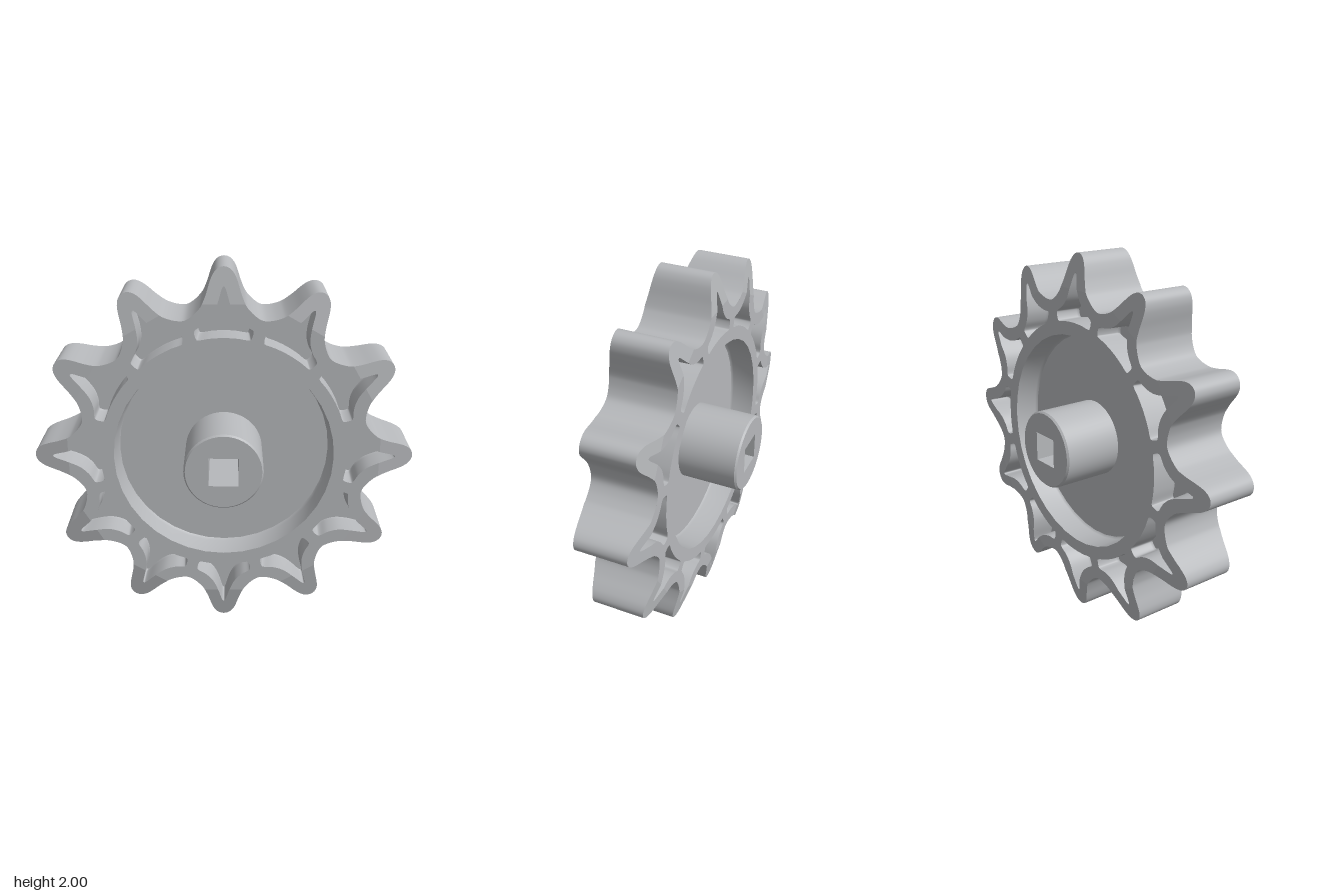
import * as THREE from 'three';

const TEETH = 12, STEPS = 4;
const FACE_Z = 0.175, TIP_Z = 0.14, TAPER_R = 0.82; // faces taper beyond TAPER_R
const WEB_Z = 0.042, HUB_Z = 0.365, HUB_R = 0.205, RECESS_R = 0.58;

// Height of the side face at a tooth-local radial position
const faceZ = (y) => FACE_Z - Math.max(0, (y - TAPER_R) / (1 - TAPER_R)) * (FACE_Z - TIP_Z);

const turn = (p, i) => p.clone().rotateAround(new THREE.Vector2(), -i * Math.PI * 2 / TEETH);
const v2 = (a) => new THREE.Vector2(a[0], a[1]);

// Smooth closed outline that passes through its control points every STEPS samples
function smoothLoop(points) {
  const curve = new THREE.CatmullRomCurve3(points.map((p) => new THREE.Vector3(p.x, p.y, 0)), true, 'catmullrom', 0.5);
  return curve.getPoints(points.length * STEPS).slice(0, -1).map((p) => new THREE.Vector2(p.x, p.y));
}

const circle = (r, n) => Array.from({ length: n }, (_, i) =>
  new THREE.Vector2(r * Math.cos(i * 2 * Math.PI / n), r * Math.sin(i * 2 * Math.PI / n)));

const ring = (pts, z) => pts.map((p) => [p.x, p.y, typeof z === 'function' ? z(p) : z]);

// Wall through closed rings, top to bottom; inward walls face the axis of the loop
function loft(rings, inward = false, flat = false) {
  const n = rings[0].length, index = [];
  for (let r = 0; r < rings.length - 1; r++) {
    for (let i = 0; i < n; i++) {
      const j = (i + 1) % n, a = r * n + i, b = a + n, c = r * n + n + j, d = r * n + j;
      if (inward) index.push(a, c, b, a, d, c);
      else index.push(a, b, c, a, c, d);
    }
  }
  let g = new THREE.BufferGeometry();
  g.setAttribute('position', new THREE.Float32BufferAttribute(rings.flat(2), 3));
  g.setIndex(index);
  if (flat) g = g.toNonIndexed();
  g.computeVertexNormals();
  return g;
}

// Flat plate facing +z with optional holes
function plate(outline, z, holes = []) {
  const shape = new THREE.Shape(outline);
  holes.forEach((h) => shape.holes.push(new THREE.Path(h)));
  return new THREE.ShapeGeometry(shape).translate(0, 0, z);
}

export function createModel() {
  const steel = new THREE.MeshStandardMaterial({ color: 0xb6b8bb });
  steel.name = 'grey metal';
  const add = (parent, name, geometry) => {
    const mesh = new THREE.Mesh(geometry, steel);
    mesh.name = name;
    parent.add(mesh);
    return mesh;
  };

  // Tooth profile: valley, flank, taper start (index 3), tip (index 8), then mirrored
  const half = [[0.197, 0.737], [0.158, 0.76], [0.125, 0.793], [0.107, TAPER_R], [0.087, 0.87],
    [0.07, 0.925], [0.054, 0.963], [0.031, 0.99], [0, 1]].map(v2);
  const mirrored = half.slice(1, -1).reverse().map((p) => new THREE.Vector2(-p.x, p.y));
  const toothControls = [...half, ...mirrored];
  const perTooth = toothControls.length * STEPS;
  const controls = [];
  for (let i = 0; i < TEETH; i++) controls.push(...toothControls.map((p) => turn(p, -i)));
  const outline = smoothLoop(controls);
  const tooth = outline.slice(0, perTooth);
  const taperA = 3 * STEPS, taperB = 13 * STEPS;

  // Pocket profile: starts and crosses the taper line at indices 0 and 4
  const pocketHalf = [[0, 0.65], [0.07, 0.646], [0.125, 0.637], [0.139, 0.645], [0.148, 0.676],
    [0.14, 0.692], [0.1, 0.717], [0.06, 0.76]];
  const pocketControls = [[0.032, TAPER_R], [0.011, 0.89], [0, 0.905], [-0.011, 0.89], [-0.032, TAPER_R],
    ...pocketHalf.slice().reverse().map(([x, y]) => [-x, y]), ...pocketHalf.slice(1)].map(v2);
  const pocket = smoothLoop(pocketControls);
  const pocketTip = pocket.slice(0, 4 * STEPS + 1);
  const pocketBase = [...pocket.slice(4 * STEPS), pocket[0]].reverse();
  const shrink = (s) => pocket.map((p) => new THREE.Vector2(p.x * s, 0.69 + (p.y - 0.69) * s));

  // Face contour runs round each tooth root and notches in around each pocket
  const faceOutline = [];
  for (let i = 0; i < TEETH; i++) {
    const part = [...tooth.slice(0, taperA + 1), ...pocketBase, ...tooth.slice(taperB)];
    faceOutline.push(...part.map((p) => turn(p, -i)));
  }

  const recess = (r) => circle(r, 36);
  const hub = (r) => circle(r, 48);
  const square = [[0.077, 0.077], [-0.077, 0.077], [-0.077, -0.077], [0.077, -0.077]].map(v2);

  const tipGeometry = plate([...tooth.slice(taperA, taperB + 1), ...pocketTip.slice().reverse()], 0);
  const pos = tipGeometry.attributes.position;
  for (let i = 0; i < pos.count; i++) pos.setZ(i, faceZ(pos.getY(i)));
  tipGeometry.computeVertexNormals();
  const pocketWall = loft([ring(pocket, (p) => faceZ(p.y)), ring(shrink(0.96), WEB_Z + 0.012),
    ring(shrink(0.9), WEB_Z)], true);
  const pocketFloor = plate(shrink(0.9), WEB_Z);

  // One side of the wheel
  const side = new THREE.Group();
  side.name = 'sideFace';
  add(side, 'rimFace', plate(faceOutline, FACE_Z, [recess(RECESS_R)]));
  add(side, 'recessWall', loft([ring(recess(RECESS_R), FACE_Z), ring(recess(0.573), WEB_Z + 0.012),
    ring(recess(0.562), WEB_Z)], true));
  add(side, 'web', plate(recess(0.562), WEB_Z, [hub(HUB_R - 0.005)]));
  add(side, 'hubWall', loft([ring(hub(HUB_R), HUB_Z - 0.01), ring(hub(HUB_R), WEB_Z)]));
  add(side, 'hubEdge', loft([ring(hub(HUB_R - 0.008), HUB_Z), ring(hub(HUB_R), HUB_Z - 0.01)]));
  add(side, 'hubEnd', plate(hub(HUB_R - 0.008), HUB_Z, [square]));
  for (let i = 0; i < TEETH; i++) {
    const group = new THREE.Group();
    group.name = 'toothFace';
    add(group, 'toothTipFace', tipGeometry);
    add(group, 'pocketWall', pocketWall);
    add(group, 'pocketFloor', pocketFloor);
    group.rotation.z = i * Math.PI * 2 / TEETH;
    side.add(group);
  }
  const back = side.clone();
  back.rotation.y = Math.PI;

  // Toothed edge and the square bore join the two sides
  const wheel = new THREE.Group();
  wheel.name = 'sprocketWheel';
  wheel.add(side, back);
  const edgeZ = outline.map((_, i) => faceZ(tooth[i % perTooth].y));
  add(wheel, 'toothedEdge', loft([1, -1].map((s) => outline.map((p, i) => [p.x, p.y, s * edgeZ[i]]))));
  add(wheel, 'squareBore', loft([ring(square, HUB_Z), ring(square, -HUB_Z)], true, true));
  wheel.position.y = 1;

  const model = new THREE.Group();
  model.name = 'sprocket';
  model.add(wheel);
  return model;
}
